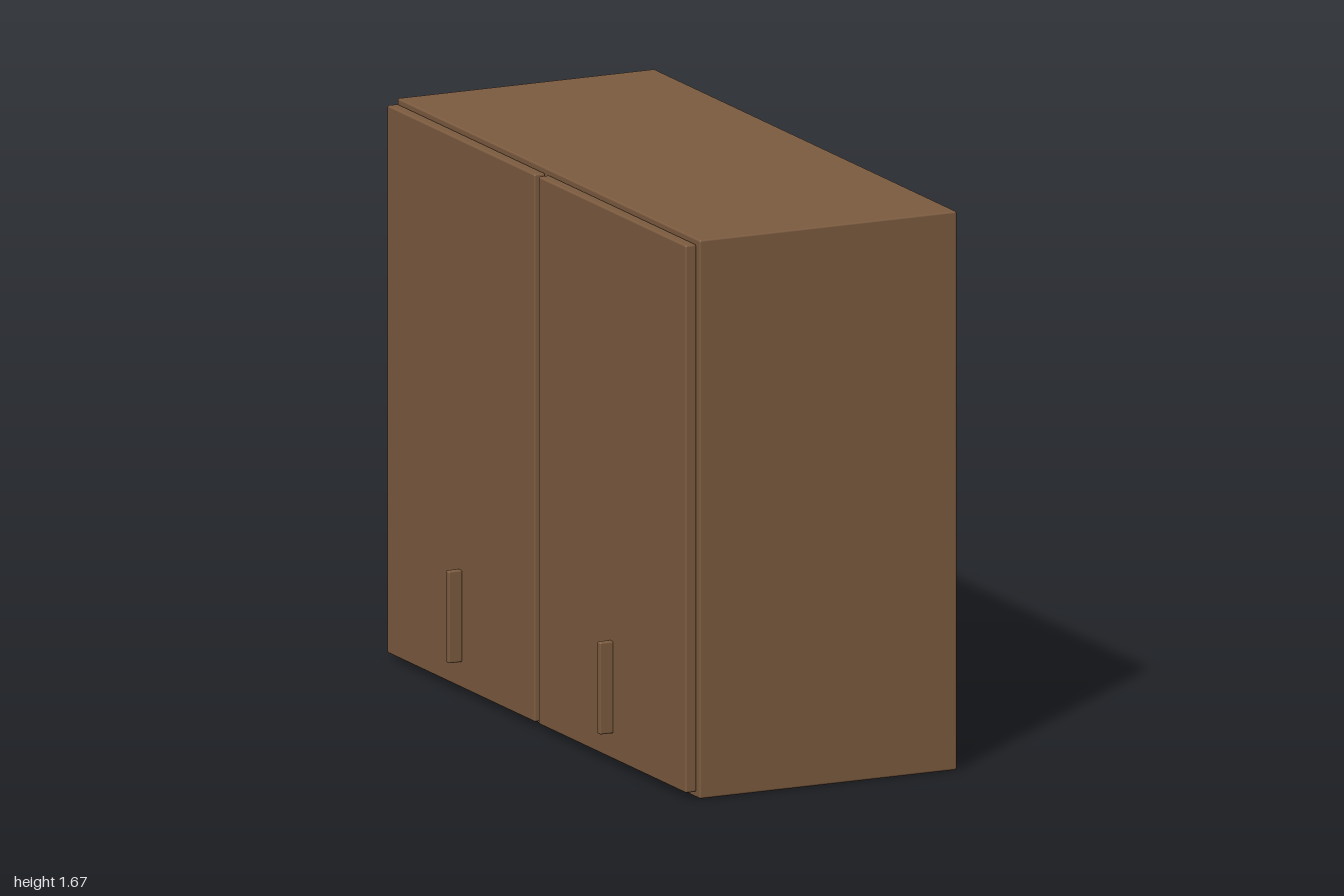
import * as THREE from 'three';
import { RoundedBoxGeometry } from 'three/addons/geometries/RoundedBoxGeometry.js';

export function createModel() {
  const group = new THREE.Group();
  const wood = new THREE.MeshStandardMaterial({ color: 0x7d5c40 });
  wood.name = 'brown wood';

  // Softly rounded board spanning [min, max] on each axis
  function board(name, [x0, x1], [y0, y1], [z0, z1], radius) {
    const geometry = new RoundedBoxGeometry(x1 - x0, y1 - y0, z1 - z0, 2, radius);
    const mesh = new THREE.Mesh(geometry, wood);
    mesh.name = name;
    mesh.position.set((x0 + x1) / 2, (y0 + y1) / 2, (z0 + z1) / 2);
    group.add(mesh);
  }

  // Cabinet body
  board('cabinetBody', [-0.378, 0.457], [0, 1.673], [-1, 1], 0.006);

  // Two doors on the -x side, each with a low vertical handle
  [['back', -0.503], ['front', 0.497]].forEach(([side, z]) => {
    board(side + 'Door', [-0.416, -0.38], [0.018, 1.658], [z - 0.487, z + 0.487], 0.006);
    board(side + 'Handle', [-0.46, -0.415], [0.096, 0.372], [z - 0.011, z + 0.011], 0.005);
  });

  return group;
}
